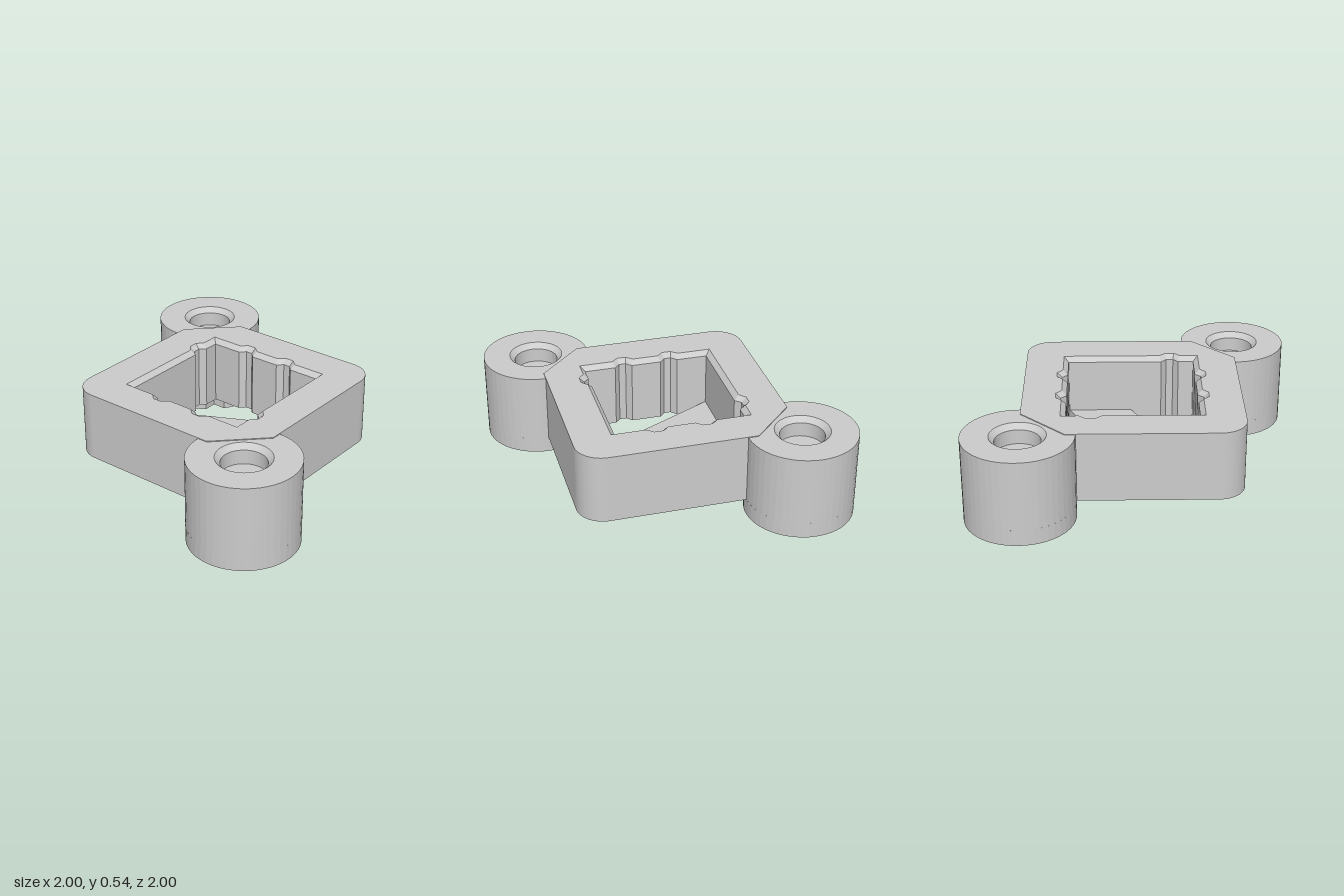
import * as THREE from 'three';

const HALF = 0.667;      // half width of the frame, also the boss centre
const BASE = 0.1;        // underside of the frame
const TOP = 0.538;
const BEVEL = 0.03;
const BOSS_R = 0.333;
const BOSS_TOP = 0.533;
const NOTCH = 0.48;

// Extrude a plan shape (x, -z) upward from y0 to y1
function slab(shape, y0, y1) {
  const geo = new THREE.ExtrudeGeometry(shape, { depth: y1 - y0, bevelEnabled: false, curveSegments: 10 });
  return geo.rotateX(-Math.PI / 2).translate(0, y0, 0);
}

function faceted(geo) {
  const flat = geo.index ? geo.toNonIndexed() : geo;
  flat.computeVertexNormals();
  return flat;
}

// Square pocket with small trapezoid grooves, grown by a given offset
function pocketOutline(grow) {
  const h = 0.4 + grow, wide = 0.055 + grow * 0.4, narrow = 0.022 + grow * 0.2;
  const points = [];
  for (let side = 0; side < 4; side++) {
    const row = [[h, -h]];
    for (const t of side % 2 ? [-0.25] : [-0.15, 0.15]) {
      row.push([h, t - wide], [h + 0.036, t - narrow], [h + 0.036, t + narrow], [h, t + wide]);
    }
    for (const [x, y] of row) {
      points.push(new THREE.Vector2(x, y).rotateAround(new THREE.Vector2(), side * Math.PI / 2));
    }
  }
  return points;
}

// Frame plan: two rounded corners, two cut off inside the bosses
function frameShape(hole) {
  const r = 0.167, cut = 0.27, s = new THREE.Shape();
  s.moveTo(-HALF + cut, -HALF);
  s.lineTo(HALF - r, -HALF);
  s.absarc(HALF - r, -HALF + r, r, -Math.PI / 2, 0);
  s.lineTo(HALF, HALF - cut);
  s.lineTo(HALF - cut, HALF);
  s.lineTo(-HALF + r, HALF);
  s.absarc(-HALF + r, HALF - r, r, Math.PI / 2, Math.PI);
  s.lineTo(-HALF, -HALF + cut);
  s.closePath();
  s.holes.push(new THREE.Path(hole));
  return s;
}

// Sloping strip joining two outlines, facing into the pocket
function bevelStrip(lower, upper, y0, y1) {
  const pos = [];
  const put = (p, y) => pos.push(p.x, y, -p.y);
  lower.forEach((a, i) => {
    const j = (i + 1) % lower.length;
    put(a, y0); put(upper[i], y1); put(upper[j], y1);
    put(a, y0); put(upper[j], y1); put(lower[j], y0);
  });
  const geo = new THREE.BufferGeometry();
  geo.setAttribute('position', new THREE.Float32BufferAttribute(pos, 3));
  geo.computeVertexNormals();
  return geo;
}

export function createModel() {
  const model = new THREE.Group();
  model.name = 'squareMount';
  const grey = new THREE.MeshStandardMaterial({ color: 0xcccccc });
  grey.name = 'lightGrey';
  const add = (parent, name, geo) => {
    const mesh = new THREE.Mesh(geo, grey);
    mesh.name = name;
    parent.add(mesh);
  };

  // Frame with bevelled pocket
  const inner = pocketOutline(0), outer = pocketOutline(BEVEL);
  add(model, 'frameBody', slab(frameShape(inner), BASE, TOP - BEVEL));
  add(model, 'frameRim', slab(frameShape(outer), TOP - BEVEL, TOP));
  add(model, 'pocketBevel', bevelStrip(inner, outer, TOP - BEVEL, TOP));

  // Slanted bar across the pocket floor
  const bar = new THREE.Shape([[-0.4, 0.4], [0, -0.4], [0.4, -0.4], [0, 0.4]]
    .map(([x, y]) => new THREE.Vector2(x, y)));
  add(model, 'floorBar', slab(bar, BASE, 0.167));

  // Boss: blind bevelled hole above, notched foot below the frame
  const profile = [[BOSS_R, BASE], [BOSS_R, BOSS_TOP], [0.167, BOSS_TOP], [0.135, 0.5], [0.135, 0.41], [0, 0.41]]
    .map(([r, y]) => new THREE.Vector2(r, y));
  const bossGeo = faceted(new THREE.LatheGeometry(profile, 48).translate(HALF, 0, -HALF));
  const a = Math.asin((HALF - NOTCH) / BOSS_R);
  const foot = new THREE.Shape();
  foot.moveTo(NOTCH, NOTCH);
  for (let i = 0; i <= 44; i++) {
    const t = THREE.MathUtils.lerp(1.5 * Math.PI - a, 3 * Math.PI + a, i / 44);
    foot.lineTo(HALF + BOSS_R * Math.cos(t), HALF + BOSS_R * Math.sin(t));
  }
  foot.closePath();
  const footGeo = slab(foot, 0, BASE);
  ['backLeftBoss', 'frontRightBoss'].forEach((name, i) => {
    const boss = new THREE.Group();
    boss.name = name;
    boss.rotation.y = i * Math.PI;
    add(boss, 'bossBody', bossGeo);
    add(boss, 'bossFoot', footGeo);
    model.add(boss);
  });
  return model;
}
